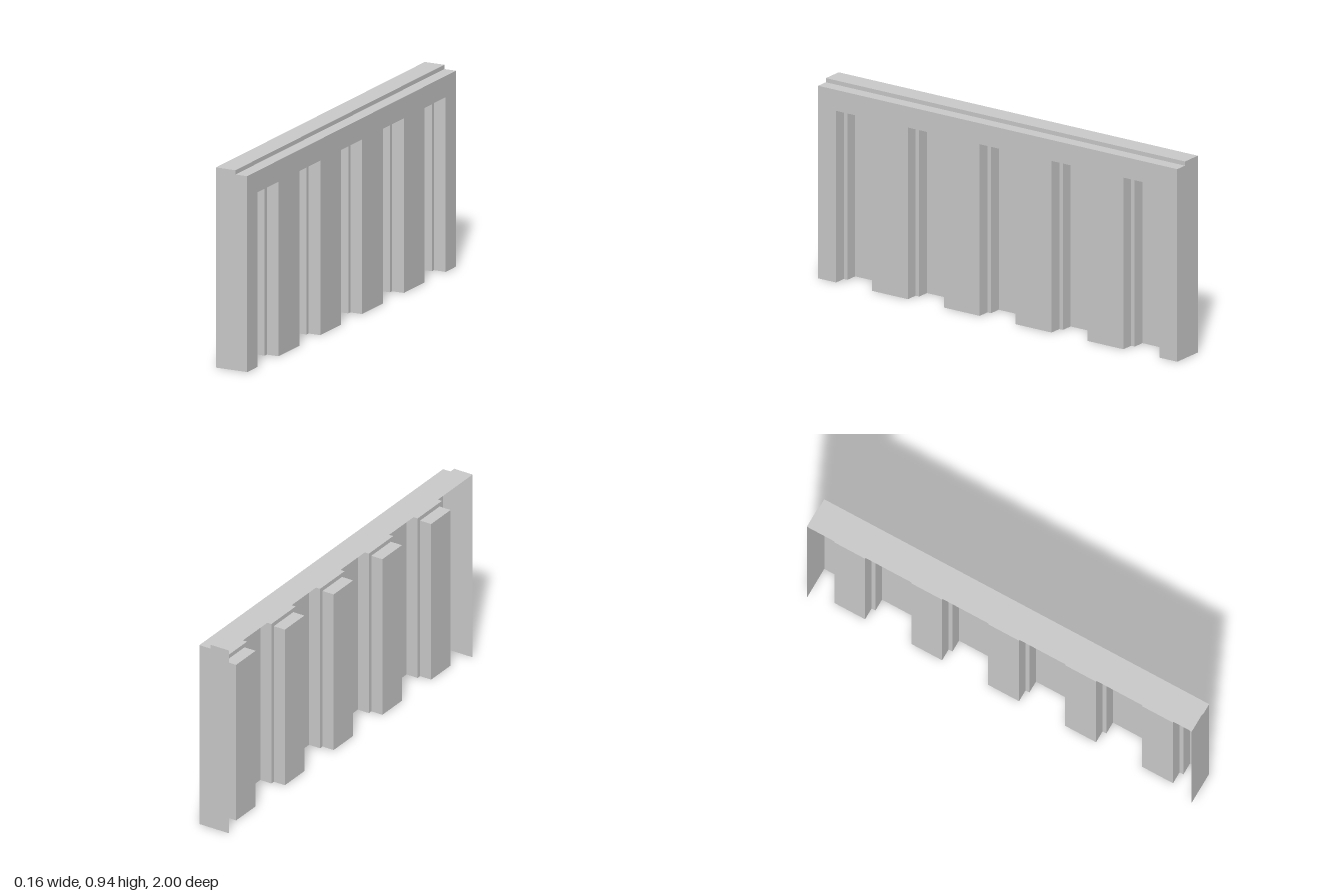
import * as THREE from 'three';

const H = 0.92, TOP = 0.94, X = 0.08, STEP = 0.02, DEEP = -0.04;
const CENTRES = [-0.8, -0.4, 0, 0.4, 0.8];
const OUTER = { w: 0.1, h: 0.82 }, INNER = { w: 0.08, h: 0.8 };

const material = new THREE.MeshStandardMaterial({ color: 0xcccccc, flatShading: true, side: THREE.DoubleSide });

function add(parent, name, geometry) {
  const mesh = new THREE.Mesh(geometry, material);
  mesh.name = name;
  parent.add(mesh);
  return mesh;
}

// Open surface through successive rows of points [x, y, z]
function loft(rows) {
  const pos = [];
  for (let i = 0; i < rows.length - 1; i++) {
    for (let j = 0; j < rows[i].length - 1; j++) {
      const a = rows[i][j], b = rows[i][j + 1], c = rows[i + 1][j + 1], d = rows[i + 1][j];
      pos.push(...a, ...b, ...c, ...a, ...c, ...d);
    }
  }
  const geometry = new THREE.BufferGeometry();
  geometry.setAttribute('position', new THREE.Float32BufferAttribute(pos, 3));
  geometry.computeVertexNormals();
  return geometry;
}

const flat = (points) => new THREE.ShapeGeometry(new THREE.Shape(points.map(([x, y]) => new THREE.Vector2(x, y))));

// Door-shaped outline at depth x, open at the floor
const arch = ({ w, h }, x) => [[x, 0, -w], [x, h, -w], [x, h, w], [x, 0, w]];

export function createModel() {
  const model = new THREE.Group();
  model.name = 'recessedWall';

  // Face panel with five openings cut up from the floor
  const outline = [[-1, 0]];
  for (const c of CENTRES) {
    const l = c - OUTER.w, r = c + OUTER.w;
    outline.push([l, 0], [l, OUTER.h], [r, OUTER.h], [r, 0]);
  }
  outline.push([1, 0], [1, H], [-1, H]);
  add(model, 'facePanel', flat(outline).rotateY(Math.PI / 2).translate(X, 0, 0));

  // Stepped recesses, each closed by a back panel
  for (const c of CENTRES) {
    const recess = new THREE.Group();
    recess.name = 'recess';
    recess.position.z = c;
    add(recess, 'recessFrame', loft([arch(OUTER, X), arch(OUTER, STEP), arch(INNER, STEP), arch(INNER, DEEP)]));
    add(recess, 'recessBack', new THREE.PlaneGeometry(2 * INNER.w, INNER.h)
      .rotateY(Math.PI / 2).translate(DEEP, INNER.h / 2, 0));
    model.add(recess);
  }

  // Stepped top; the rear and underside stay open
  const cap = [[X, H], [STEP, H], [STEP, TOP], [-X, TOP]];
  add(model, 'steppedTop', loft([-1, 1].map((z) => cap.map(([x, y]) => [x, y, z]))));

  // End panels
  for (const z of [-1, 1]) {
    add(model, 'endPanel', flat([[-X, 0], [X, 0], ...cap]).translate(0, 0, z));
  }
  return model;
}
